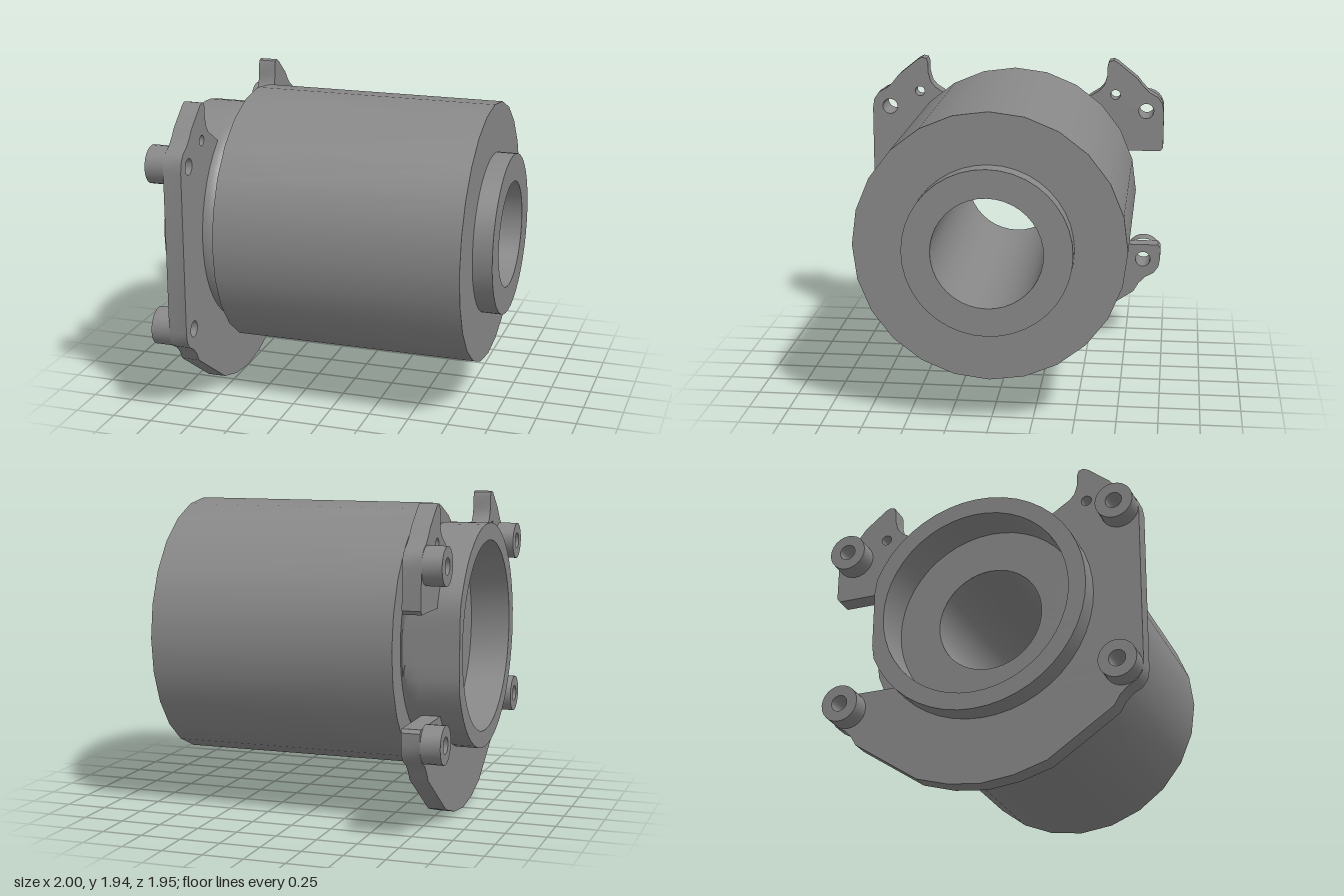
import * as THREE from 'three';
import { toCreasedNormals } from 'three/addons/utils/BufferGeometryUtils.js';

const AXIS_Y = 1.093; // height of the main axis, which runs along x

export function createModel() {
  const group = new THREE.Group();
  const steel = new THREE.MeshStandardMaterial({ color: 0x888888 });
  steel.name = 'grey steel';

  function add(name, geometry, y = AXIS_Y, z = 0) {
    const mesh = new THREE.Mesh(toCreasedNormals(geometry, 0.55), steel);
    mesh.name = name;
    mesh.position.set(0, y, z);
    group.add(mesh);
  }

  // Revolve [radius, x] pairs around the x axis
  function turned(profile, segments) {
    const points = profile.map(([r, x]) => new THREE.Vector2(r, x));
    return new THREE.LatheGeometry(points, segments).rotateZ(-Math.PI / 2);
  }

  // Main drum
  add('drum', turned([[0.4, -0.64], [0.805, -0.64], [0.805, 0.88], [0.4, 0.88]], 24));

  // Nose ring and the bore running through the drum
  add('noseAndBore', turned([[0.4, 0.88], [0.497, 0.88], [0.497, 1], [0.328, 1], [0.328, -0.75]], 40));

  // Rear collar with counterbore and rounded neck
  const collarProfile = [[0.328, -0.75], [0.585, -0.75], [0.585, -1], [0.69, -1], [0.69, -0.75]];
  for (let i = 1; i <= 5; i++) {
    const a = (i / 5) * 1.15;
    collarProfile.push([0.605 + 0.085 * Math.cos(a), -0.75 + 0.12 * Math.sin(a)]);
  }
  collarProfile.push([0.6, -0.64]);
  const collar = turned(collarProfile, 48);
  // One side of the collar is milled flat
  const pos = collar.attributes.position;
  for (let i = 0; i < pos.count; i++) pos.setZ(i, Math.max(pos.getZ(i), -0.65));
  add('collar', collar);

  // Flange outline, drawn as (z, y) around the axis
  const bottom = [[0.2, -1.07], [0.4, -1.01], [0.8, -0.74], [0.835, -0.68], [0.88, -0.635],
    [0.935, -0.605], [0.967, -0.56], [0.977, -0.5]];
  const top = [[0.977, 0.5], [0.967, 0.56], [0.935, 0.605], [0.88, 0.635], [0.835, 0.68], [0.8, 0.725],
    [0.67, 0.83], [0.64, 0.845], [0.61, 0.838], [0.6, 0.81], [0.598, 0.74], [0.58, 0.68],
    [0.55, 0.645], [0.51, 0.62], [0.42, 0.56]];
  const mirrored = (list) => list.map(([z, y]) => [-z, y]).reverse();
  const arc = (r, from, to, n) => Array.from({ length: n + 1 }, (_, i) => {
    const a = from + ((to - from) * i) / n;
    return [r * Math.cos(a), r * Math.sin(a)];
  });
  const outline = [
    [0, -1.093], ...bottom, ...top,
    ...arc(0.66, 0.95, Math.PI - 0.95, 16), // gap between the horns
    ...mirrored(top),
    [-0.977, 0.265], [-0.96, 0.242], [-0.57, 0.242], // notch at the side
    ...arc(0.62, Math.PI - 0.38, Math.PI + 0.68, 10),
    [-0.52, -0.408], [-0.96, -0.408], [-0.977, -0.43],
    ...mirrored(bottom),
  ];
  const flange = new THREE.Shape(outline.map(([z, y]) => new THREE.Vector2(z, y)));
  const drill = (z, y, r) => flange.holes.push(new THREE.Path().absarc(z, y, r, 0, Math.PI * 2, true));
  drill(0, 0, 0.6);
  for (const side of [-1, 1]) {
    drill(side * 0.86, 0.51, 0.05);
    drill(side * 0.86, -0.51, 0.05);
    drill(side * 0.655, 0.617, 0.032);
  }
  add('flange', new THREE.ExtrudeGeometry(flange, { depth: 0.112, bevelEnabled: false, curveSegments: 16 })
    .rotateY(-Math.PI / 2).translate(-0.75, 0, 0));

  // Hollow mounting bosses on the back of the flange
  for (const z of [-0.86, 0.86]) {
    for (const y of [-0.51, 0.51]) {
      add('mountingBoss', turned([[0.05, -0.86], [0.05, -0.98], [0.115, -0.98], [0.115, -0.86]], 24), AXIS_Y + y, z);
    }
  }
  return group;
}
